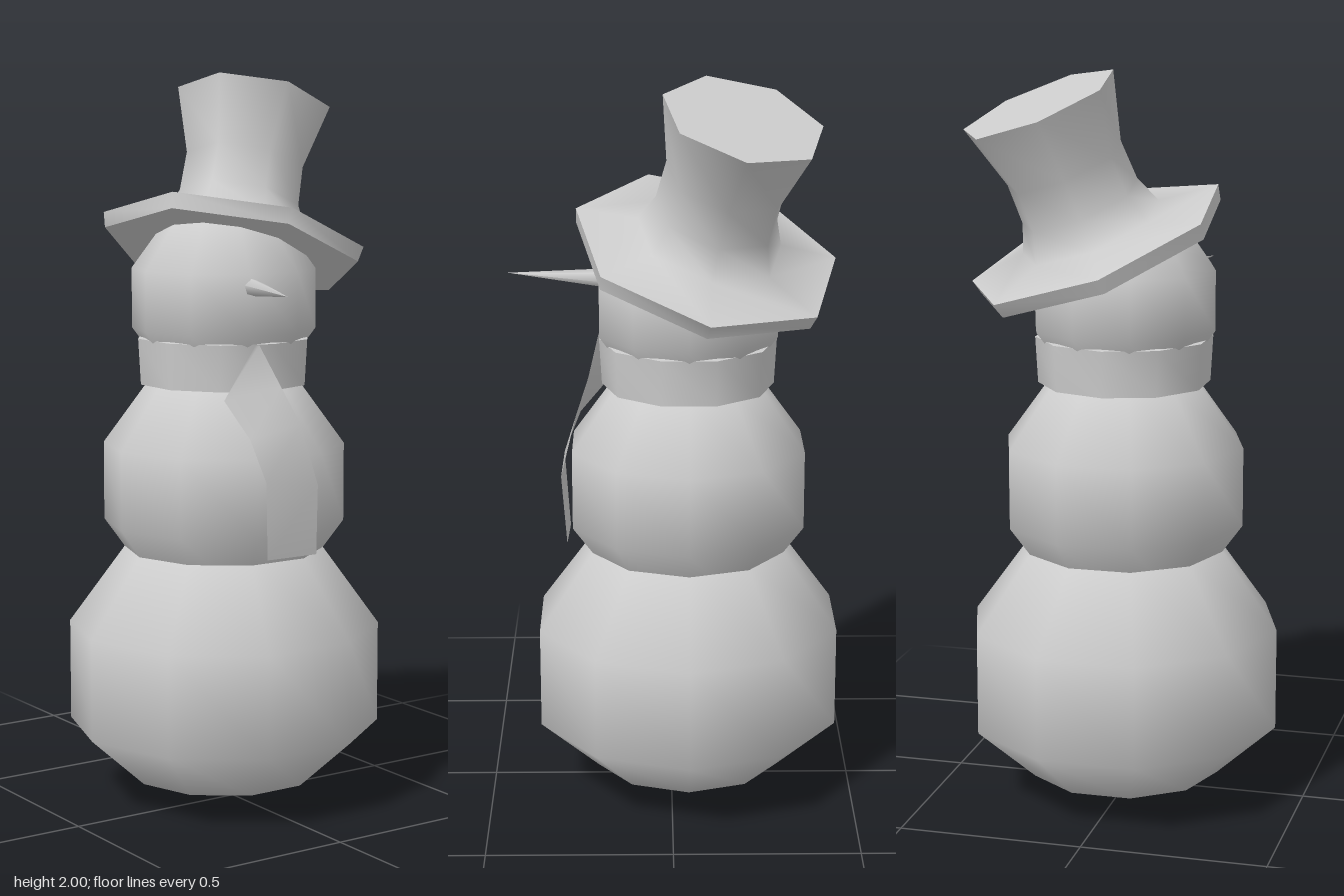
import * as THREE from 'three';
import { toCreasedNormals } from 'three/addons/utils/BufferGeometryUtils.js';

const AXIS_Z = -0.045;
const grey = new THREE.MeshStandardMaterial({ color: 0xcccccc });
const greyDouble = new THREE.MeshStandardMaterial({ color: 0xcccccc, side: THREE.DoubleSide });

function add(parent, name, geometry, material = grey) {
  const mesh = new THREE.Mesh(geometry, material);
  mesh.name = name;
  parent.add(mesh);
  return mesh;
}

const lathe = (points, sides, start) =>
  new THREE.LatheGeometry(points.map(([r, y]) => new THREE.Vector2(r, y)), sides, start);

// Ten-sided snowball; the lowest one is flattened where it rests on the ground
function snowball(radius, flatten) {
  const g = new THREE.SphereGeometry(radius, 10, 5);
  const p = g.attributes.position;
  if (flatten) {
    for (let i = 0; i < p.count; i++) {
      const y = p.getY(i);
      if (y < -0.3) p.setY(i, -0.285 + (y + 0.364) * 0.756);
    }
  }
  return g;
}

// Strip of cloth from pairs of left and right edge points
function strip(rows) {
  const index = [];
  for (let i = 0; i < rows.length - 1; i++) {
    const a = i * 2;
    index.push(a, a + 2, a + 1, a + 1, a + 2, a + 3);
  }
  const g = new THREE.BufferGeometry();
  g.setAttribute('position', new THREE.Float32BufferAttribute(rows.flat(), 3));
  g.setIndex(index);
  g.computeVertexNormals();
  return g;
}

export function createModel() {
  const model = new THREE.Group();
  model.name = 'snowman';

  // Three stacked snowballs
  [
    ['lowerBody', 0.45, 0.355, true],
    ['upperBody', 0.347, 0.89, false],
    ['head', 0.263, 1.395, false],
  ].forEach(([name, radius, y, flatten]) => {
    add(model, name, snowball(radius, flatten)).position.set(0, y, AXIS_Z);
  });

  // Nose: a thin cone turned a little to one side
  const base = new THREE.Vector3(-0.055, 1.443, 0.15);
  const tip = new THREE.Vector3(-0.135, 1.44, 0.445);
  const nose = add(model, 'nose', new THREE.ConeGeometry(0.028, base.distanceTo(tip), 6));
  nose.position.copy(base).lerp(tip, 0.5);
  nose.quaternion.setFromUnitVectors(new THREE.Vector3(0, 1, 0), tip.clone().sub(base).normalize());

  // Scarf: band around the neck and a hanging end
  const scarf = new THREE.Group();
  scarf.name = 'scarf';
  model.add(scarf);
  const band = lathe([[0.19, 1.175], [0.233, 1.165], [0.24, 1.29], [0.2, 1.295]], 10, 0);
  add(scarf, 'scarfBand', toCreasedNormals(band, 1), greyDouble).position.z = AXIS_Z;
  add(scarf, 'scarfEnd', strip([
    [-0.06, 1.29, 0.195, -0.05, 1.29, 0.197],
    [-0.14, 1.145, 0.165, 0.0, 1.18, 0.225],
    [-0.115, 1.05, 0.25, 0.04, 1.08, 0.26],
    [-0.095, 0.94, 0.295, 0.068, 0.92, 0.3],
    [-0.08, 0.73, 0.28, 0.075, 0.73, 0.285],
  ]), greyDouble);

  // Hat: seven-sided, waisted crown flowing into a wide brim, tilted to one side
  const hat = add(model, 'hat', toCreasedNormals(lathe([
    [0, -0.015], [0.355, -0.02], [0.365, 0.022], [0.2, 0.05],
    [0.168, 0.13], [0.165, 0.24], [0.217, 0.42], [0, 0.42],
  ], 7, Math.PI / 2 + 0.04), 1.2));
  hat.position.set(0.06, 1.53, -0.09);
  hat.quaternion.setFromUnitVectors(
    new THREE.Vector3(0, 1, 0), new THREE.Vector3(0.35, 1, -0.24).normalize());

  return model;
}
